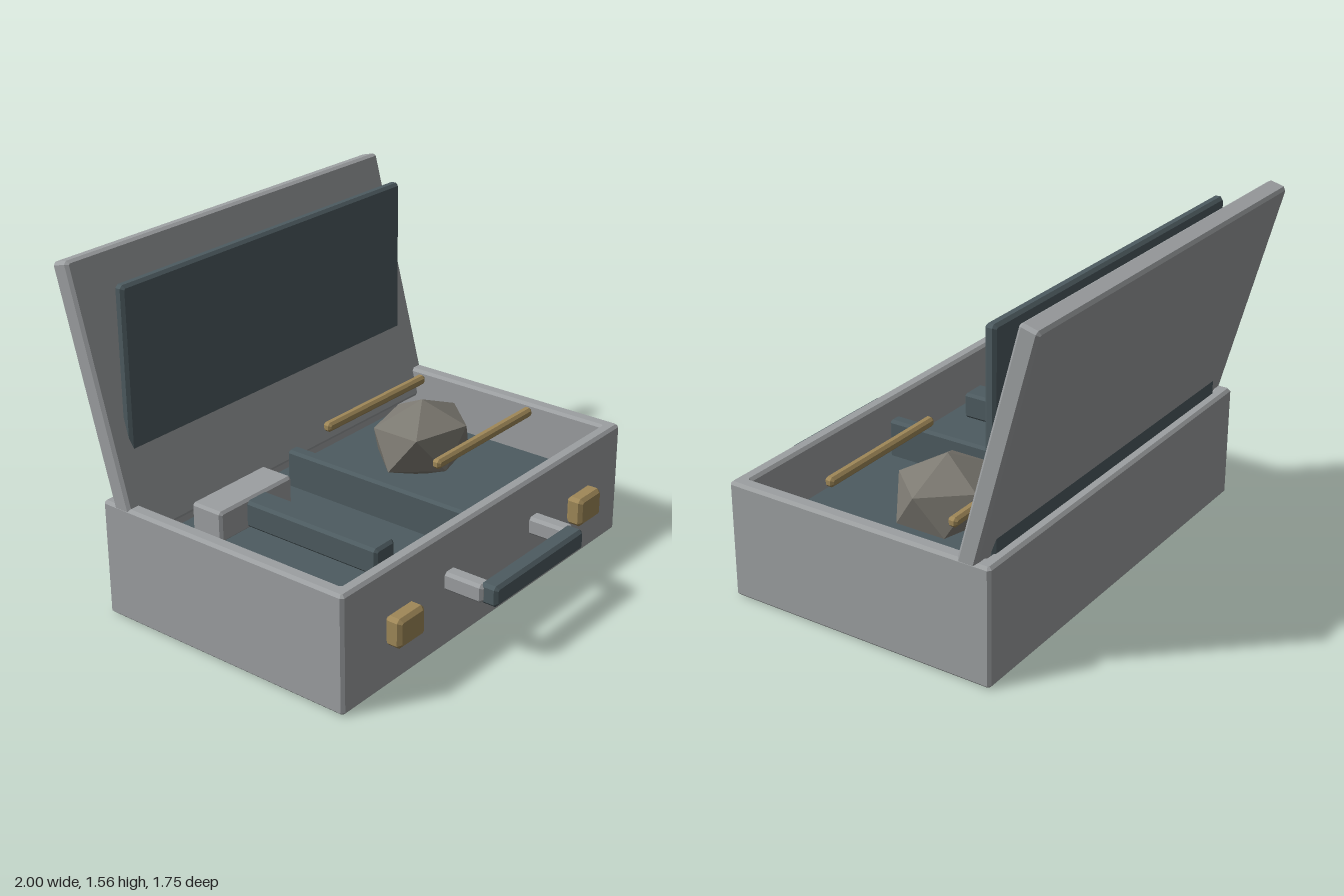
import * as THREE from 'three';

const mat = (name, color) => {
  const m = new THREE.MeshStandardMaterial({ color });
  m.name = name;
  return m;
};

// rectangle outline with cut corners
function cutRect(path, w, h, c) {
  const x = w / 2, y = h / 2;
  path.setFromPoints([
    [-x + c, -y], [x - c, -y], [x, -y + c], [x, y - c],
    [x - c, y], [-x + c, y], [-x, y - c], [-x, -y + c],
  ].map(([a, b]) => new THREE.Vector2(a, b)));
  path.closePath();
  return path;
}

// extrusion of total depth d with a single chamfer of size b
const chamferExtrude = (shape, d, b) => new THREE.ExtrudeGeometry(shape, {
  depth: d - 2 * b, bevelEnabled: true, bevelThickness: b, bevelSize: b,
  bevelOffset: -b, bevelSegments: 1, curveSegments: 1,
}).translate(0, 0, b - d / 2);

export function createModel() {
  const model = new THREE.Group();
  model.name = 'openToolCase';

  const grey = mat('metal grey', 0x9c9fa1);
  const slate = mat('slate lining', 0x4d5b60);
  const brass = mat('brass', 0x9f8858);
  const stone = mat('stone', 0x7d7a72);

  const add = (name, geometry, material, x, y, z) => {
    const mesh = new THREE.Mesh(geometry, material);
    mesh.name = name;
    mesh.position.set(x, y, z);
    model.add(mesh);
    return mesh;
  };

  // chamfered box given by its min/max along each axis
  const box = (name, material, [x0, x1], [y0, y1], [z0, z1], b = 0.013) => {
    const shape = cutRect(new THREE.Shape(), x1 - x0, y1 - y0, b);
    return add(name, chamferExtrude(shape, z1 - z0, b), material,
      (x0 + x1) / 2, (y0 + y1) / 2, (z0 + z1) / 2);
  };

  // case walls: one hollow frame
  const frame = cutRect(new THREE.Shape(), 2, 1.295, 0.013);
  frame.holes.push(cutRect(new THREE.Path(), 1.86, 1.165, 0.002));
  add('caseWalls', chamferExtrude(frame, 0.54, 0.013).rotateX(-Math.PI / 2), grey, 0, 0.27, -0.022);
  box('caseFloor', grey, [-0.985, 0.985], [0.001, 0.07], [-0.655, 0.61], 0.005);
  box('floorLining', slate, [-0.935, 0.935], [0.25, 0.29], [-0.61, 0.565], 0.003);

  // lid leaning back, with its upright lining panel
  const lid = box('lid', grey, [-0.999, 0.999], [0.374, 1.574], [-0.723, -0.633]);
  lid.rotation.x = -0.262;
  box('lidPanel', slate, [-0.905, 0.9], [0.46, 1.48], [-0.625, -0.575]);

  // front latches and carrying handle
  for (const s of [-1, 1]) {
    const lx = s * 0.655 - 0.003;
    box('latch', brass, [lx - 0.086, lx + 0.086], [0.205, 0.34], [0.625, 0.705], 0.016);
    box('handleArm', grey, [s * 0.308 - 0.036, s * 0.308 + 0.036], [0.27, 0.355], [0.61, 0.81]);
  }
  box('handleGrip', slate, [-0.328, 0.322], [0.265, 0.36], [0.785, 0.872], 0.014);

  // contents: divider, hammer, rods, rock
  box('divider', slate, [-0.037, 0.03], [0.27, 0.465], [-0.49, 0.53]);
  box('hammerHandle', slate, [-0.53, -0.4], [0.34, 0.465], [-0.467, 0.415]);
  box('hammerHead', grey, [-0.695, -0.237], [0.33, 0.475], [-0.455, -0.285], 0.012);
  for (const z of [-0.367, 0.247]) {
    box('rod', brass, [0.095, 0.818], [0.54, 0.585], [z - 0.022, z + 0.022], 0.012);
  }
  const t = (1 + Math.sqrt(5)) / 2;
  const rock = new THREE.IcosahedronGeometry(1, 0)
    .rotateX(-Math.atan(t)).rotateY(Math.PI / 2).scale(0.28, 0.19, 0.23);
  add('rock', rock, stone, 0.46, 0.46, -0.1);

  return model;
}
